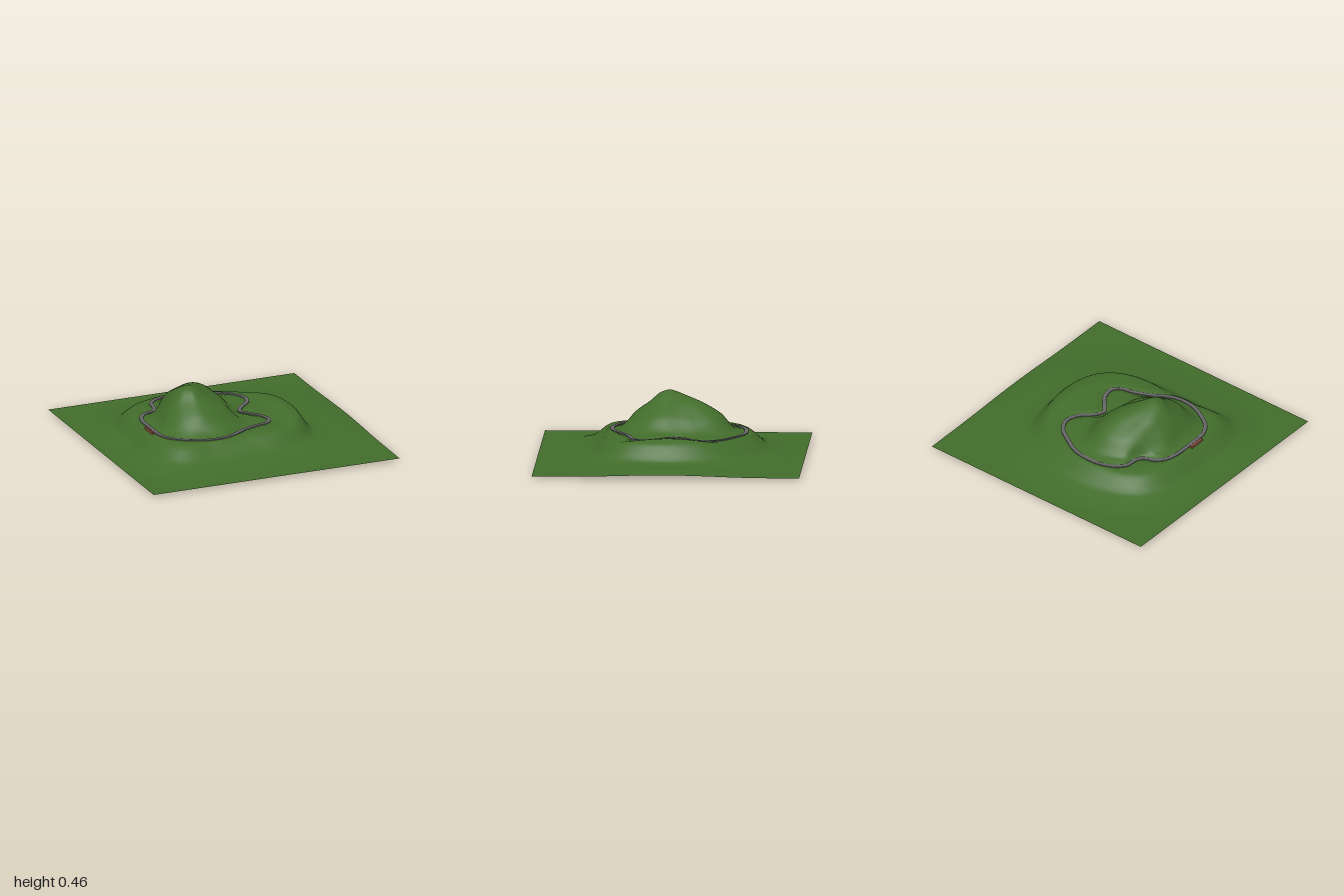
import * as THREE from 'three';

const mat = (color, side = THREE.FrontSide) => new THREE.MeshStandardMaterial({ color, side });

// Hill contours: height, then radius every 30 degrees from +x towards +z
const CENTRE = [-0.3, 0.03];
const CONTOURS = [
  [0.44, 0.06, 0.06, 0.06, 0.07, 0.06, 0.06, 0.06, 0.06, 0.06, 0.07, 0.08, 0.07],
  [0.38, 0.15, 0.14, 0.14, 0.14, 0.12, 0.12, 0.12, 0.13, 0.16, 0.20, 0.29, 0.22],
  [0.30, 0.27, 0.26, 0.25, 0.25, 0.22, 0.19, 0.18, 0.19, 0.23, 0.35, 0.43, 0.34],
  [0.187, 0.38, 0.43, 0.41, 0.36, 0.35, 0.30, 0.25, 0.29, 0.34, 0.47, 0.55, 0.49],
  [0.168, 0.83, 0.76, 0.50, 0.44, 0.49, 0.40, 0.35, 0.39, 0.52, 0.59, 0.66, 0.77],
  [0.06, 0.93, 0.92, 0.70, 0.60, 0.66, 0.56, 0.48, 0.55, 0.68, 0.74, 0.85, 0.95],
  [0.02, 1.50, 1.35, 1.15, 0.95, 0.90, 0.80, 0.66, 0.78, 0.90, 0.98, 1.18, 1.45],
];

// Track centre line as x, z
const ROAD_Y = 0.171;
const roadCurve = new THREE.CatmullRomCurve3([
  [-0.615, 0.1], [-0.61, 0.22], [-0.56, 0.32], [-0.45, 0.4], [-0.33, 0.45], [-0.2, 0.455],
  [-0.1, 0.42], [0.02, 0.35], [0.12, 0.31], [0.23, 0.28], [0.27, 0.22], [0.25, 0.13],
  [0.19, 0.05], [0.14, -0.02], [0.18, -0.1], [0.26, -0.18], [0.29, -0.28], [0.24, -0.38],
  [0.13, -0.46], [0, -0.53], [-0.12, -0.55], [-0.25, -0.54], [-0.36, -0.49], [-0.41, -0.43],
  [-0.42, -0.35], [-0.45, -0.29], [-0.54, -0.25], [-0.59, -0.19], [-0.615, -0.1],
].map(([x, z]) => new THREE.Vector3(x, 0, z)), true);
const roadPoints = roadCurve.getSpacedPoints(240).slice(0, -1);

// Closed cubic interpolation of a contour radius
function radiusAt(row, turn) {
  const i = Math.floor(turn), t = turn - i;
  const [a, b, c, d] = [-1, 0, 1, 2].map((k) => row[1 + ((i + k + 12) % 12)]);
  return b + 0.5 * t * (c - a + t * (2 * a - 5 * b + 4 * c - d + t * (3 * (b - c) + d - a)));
}

// Monotone cubic through the radius/height profile
function profile(rs, hs, r) {
  const n = rs.length - 1;
  if (r >= rs[n]) return hs[n];
  let i = 0;
  while (r > rs[i + 1]) i++;
  const slope = (k) => (hs[k + 1] - hs[k]) / (rs[k + 1] - rs[k]);
  const tangent = (k) => {
    if (k === 0 || k === n) return 0;
    const a = slope(k - 1), b = slope(k);
    return (2 * a * b) / (a + b);
  };
  const w = rs[i + 1] - rs[i], t = (r - rs[i]) / w, t2 = t * t, t3 = t2 * t;
  return hs[i] * (2 * t3 - 3 * t2 + 1) + hs[i + 1] * (3 * t2 - 2 * t3)
    + w * (tangent(i) * (t3 - 2 * t2 + t) + tangent(i + 1) * (t3 - t2));
}

const bump = (x, z, cx, cz, sx, sz) => Math.exp(-(((x - cx) / sx) ** 2) - ((z - cz) / sz) ** 2);

function heightAt(x, z) {
  const dx = x - CENTRE[0], dz = z - CENTRE[1];
  const turn = ((Math.atan2(dz, dx) / (Math.PI * 2) + 1) % 1) * 12;
  const rs = [0, ...CONTOURS.map((row) => radiusAt(row, turn))];
  const hs = [0.46, ...CONTOURS.map((row) => row[0])];
  let h = profile(rs, hs, Math.hypot(dx, dz));
  // Low ridge beyond the track, and a gentle swell at the left edge
  h += 0.043 * bump(x, z, 0.45, 0, 0.1, 0.35);
  h += 0.02 * bump(x, z, 0.88, 0, 0.15, 0.5);
  // Level bed under the track
  let nearest = Infinity;
  for (const p of roadPoints) nearest = Math.min(nearest, Math.hypot(p.x - x, p.z - z));
  return THREE.MathUtils.lerp(ROAD_Y, h, THREE.MathUtils.smoothstep(nearest, 0.025, 0.055));
}

function terrainGeometry() {
  const geo = new THREE.PlaneGeometry(2, 2, 128, 128).rotateX(-Math.PI / 2);
  const pos = geo.attributes.position;
  for (let i = 0; i < pos.count; i++) pos.setY(i, heightAt(pos.getX(i), pos.getZ(i)));
  geo.computeVertexNormals();
  return geo;
}

// Flat closed ribbon, extruded upwards
function roadGeometry(width, thickness) {
  const n = roadPoints.length;
  const edge = (side) => roadPoints.map((p, i) => {
    const t = roadPoints[(i + 1) % n].clone().sub(roadPoints[(i + n - 1) % n]).normalize();
    return new THREE.Vector2(p.x - t.z * side, -(p.z + t.x * side));
  });
  const area = (pts) => Math.abs(THREE.ShapeUtils.area(pts));
  const [inner, outer] = [edge(width / 2), edge(-width / 2)].sort((a, b) => area(a) - area(b));
  const shape = new THREE.Shape(outer);
  shape.holes.push(new THREE.Path(inner));
  return new THREE.ExtrudeGeometry(shape, { depth: thickness, bevelEnabled: false }).rotateX(-Math.PI / 2);
}

export function createModel() {
  const model = new THREE.Group();
  const add = (name, geo, material, x = 0, y = 0, z = 0, parent = model) => {
    const mesh = new THREE.Mesh(geo, material);
    mesh.name = name;
    mesh.position.set(x, y, z);
    parent.add(mesh);
    return mesh;
  };
  const box = (w, h, d) => new THREE.BoxGeometry(w, h, d);

  add('terrain', terrainGeometry(), mat(0x426c2b, THREE.DoubleSide));
  add('road', roadGeometry(0.03, 0.007), mat(0x666666), 0, ROAD_Y, 0);

  // Trackside stand: stepped tiers
  const stand = new THREE.Group();
  stand.name = 'stand';
  model.add(stand);
  const red = mat(0x8a5040);
  for (let i = 0; i < 3; i++) {
    const h = 0.014 + i * 0.005;
    add('standTier', box(0.011, h, 0.13), red, -0.631 - i * 0.011, 0.162 + h / 2, 0.105, stand);
  }

  // Small mechanism hidden under the hill
  const under = new THREE.Group();
  under.name = 'undersideMechanism';
  under.position.set(-0.61, 0, 0);
  model.add(under);
  const grey = mat(0xcccccc), dark = mat(0x777777);
  add('plate', box(0.25, 0.006, 0.25), grey, 0, 0.028, 0, under);
  add('post', new THREE.CylinderGeometry(0.014, 0.014, 0.026, 16), grey, 0, 0.013, 0, under);
  add('arm', box(0.014, 0.006, 0.43), dark, 0, 0.028, -0.34, under);
  for (const r of [0.05, 0.09]) {
    add('ring', new THREE.TorusGeometry(r, 0.003, 6, 32).rotateX(Math.PI / 2), dark, 0, 0.025, 0, under);
  }
  return model;
}
